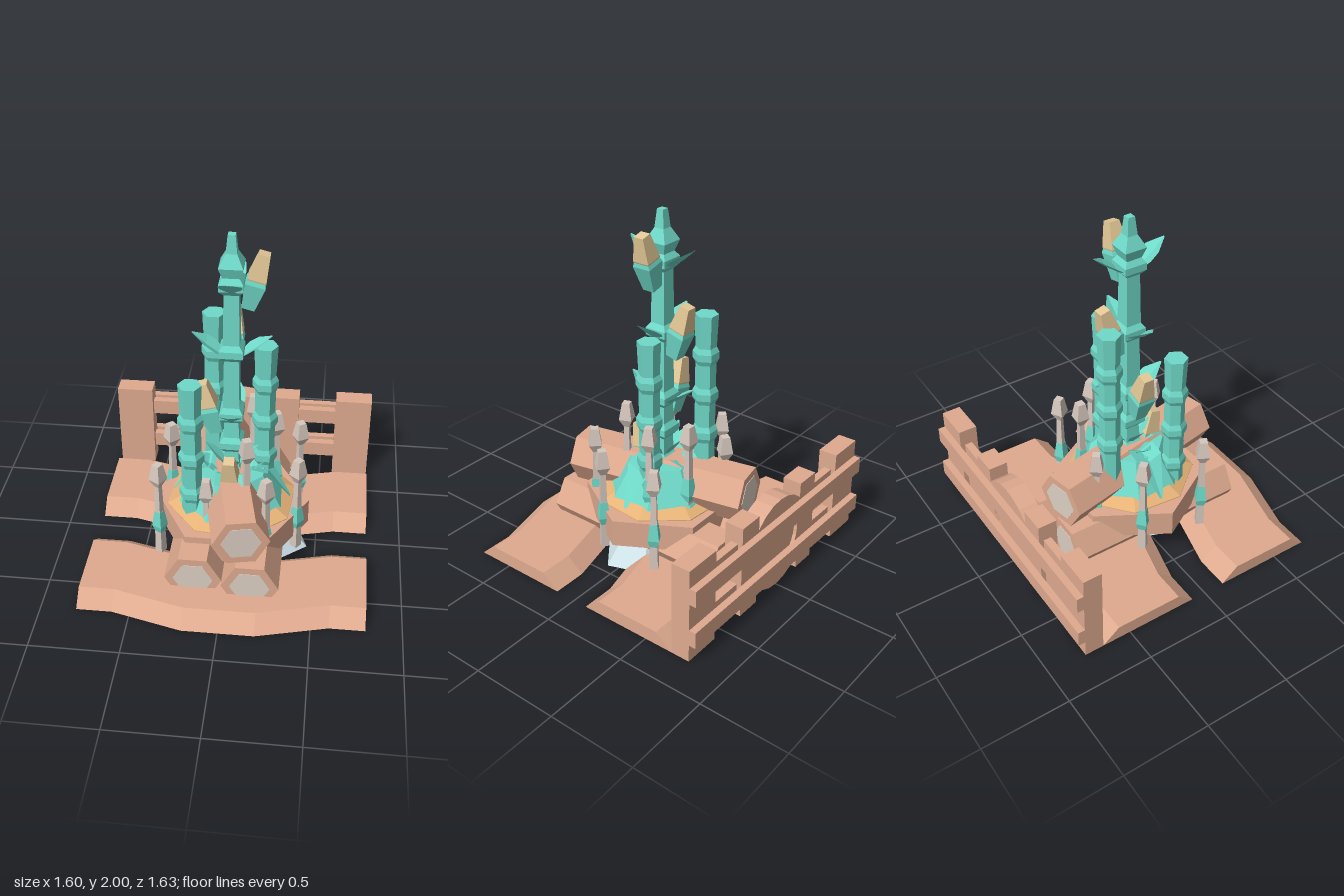
import * as THREE from 'three';

const mat = (color) => new THREE.MeshStandardMaterial({ color, flatShading: true, side: THREE.DoubleSide });
const TAN = mat(0xdfaa8f), CUT = mat(0xdccfc3), TEAL = mat(0x6fd9c8), CORN = mat(0xe3c896);
const SOIL = mat(0xe6b377), STONE = mat(0xcfe4ea), BUD = mat(0xd6c8be);

function add(parent, name, geometry, material, x = 0, y = 0, z = 0) {
  const mesh = new THREE.Mesh(geometry, material);
  mesh.name = name;
  mesh.position.set(x, y, z);
  parent.add(mesh);
  return mesh;
}

function group(parent, name, x = 0, y = 0, z = 0) {
  const g = new THREE.Group();
  g.name = name;
  g.position.set(x, y, z);
  parent.add(g);
  return g;
}

// Faceted turned solid; the profile holds [radius, y] pairs and is closed at both ends
function turned(profile, sides, phase = Math.PI / sides) {
  const pts = [[0, profile[0][1]], ...profile, [0, profile[profile.length - 1][1]]];
  return new THREE.LatheGeometry(pts.map(([r, y]) => new THREE.Vector2(r, y)), sides, phase);
}

// Square section, given by half widths
const squareTurned = (profile) => turned(profile.map(([r, y]) => [r * Math.SQRT2, y]), 4);

// Strip of triangles through equal-length rows of points
function loft(rows, closed) {
  const pos = [], n = rows[0].length;
  for (let i = 0; i < rows.length - 1; i++) {
    for (let j = 0; j < (closed ? n : n - 1); j++) {
      const k = (j + 1) % n;
      const [a, b, c, d] = [rows[i][j], rows[i + 1][j], rows[i + 1][k], rows[i][k]];
      pos.push(...a, ...b, ...c, ...a, ...c, ...d);
    }
  }
  if (closed) {
    const [s, e] = [rows[0], rows[rows.length - 1]];
    for (let j = 1; j < n - 1; j++) pos.push(...s[0], ...s[j], ...s[j + 1], ...e[0], ...e[j + 1], ...e[j]);
  }
  const g = new THREE.BufferGeometry();
  g.setAttribute('position', new THREE.Float32BufferAttribute(pos, 3));
  g.computeVertexNormals();
  return g;
}

// Folded leaf running along +x; rows are [reach, y, halfWidth]
function leaf(rows) {
  return loft(rows.map(([x, y, w]) => [[x, y, w], [x, y - w * 0.4, 0], [x, y, -w]]), false);
}

// Soil ridge, bowed forward in the middle
function ridge(z0) {
  const bow = [[-0.8, 0], [-0.6, 0], [-0.2, 0.1], [0.2, 0.1], [0.6, 0], [0.8, 0]];
  return loft(bow.map(([x, d]) => [[x, 0, z0 + d], [x, 0.08, z0 + 0.1 + d],
    [x, 0.08, z0 + 0.49 + d], [x, 0, z0 + 0.585 + d]]), true);
}

function log(parent, x, y, z, length, turn) {
  const g = group(parent, 'log', x, y, z);
  g.rotation.y = turn;
  const hex = (r, l) => new THREE.CylinderGeometry(r, r, l, 6, 1, false, Math.PI / 6).rotateX(Math.PI / 2);
  add(g, 'bark', hex(0.16, length), TAN);
  add(g, 'cutFaces', hex(0.112, length + 0.006), CUT);
}

function fence(parent) {
  const f = group(parent, 'fence');
  for (const s of [-1, 1]) {
    add(f, 'endPost', new THREE.BoxGeometry(0.22, 0.555, 0.11), TAN, s * 0.69, 0.2775, -0.725);
    add(f, 'innerPost', new THREE.BoxGeometry(0.15, 0.555, 0.11), TAN, s * 0.275, 0.2775, -0.725);
    for (const y of [0.15, 0.405])
      add(f, 'innerRail', new THREE.BoxGeometry(0.4, 0.095, 0.045), TAN, s * 0.4, y, -0.73);
  }
  for (const y of [0.15, 0.405])
    add(f, 'backRail', new THREE.BoxGeometry(1.6, 0.095, 0.04), TAN, 0, y, -0.8);
  // Round panel: rim with a recessed middle
  const rim = new THREE.Shape().absarc(0, 0, 0.275, 0, Math.PI * 2);
  rim.holes.push(new THREE.Path().absarc(0, 0, 0.19, 0, Math.PI * 2, true));
  add(f, 'panelRim', new THREE.ExtrudeGeometry(rim, { depth: 0.11, bevelEnabled: false, curveSegments: 12 }), TAN, 0, 0.28, -0.78);
  add(f, 'panel', new THREE.CylinderGeometry(0.2, 0.2, 0.05, 24).rotateX(Math.PI / 2), TAN, 0, 0.28, -0.735);
}

function cane(parent, x, z, top) {
  const profile = [[0.062, 0.33]];
  for (let y = top - 0.24 * 3; y < top - 0.1; y += 0.24)
    profile.push([0.058, y - 0.05], [0.073, y - 0.02], [0.073, y + 0.02], [0.058, y + 0.05]);
  profile.push([0.066, top]);
  add(parent, 'cane', turned(profile, 6), TEAL, x, 0, z);
}

function maize(parent) {
  const m = group(parent, 'maize', 0, 0, 0.02);
  const profile = [[0.04, 0.4]];
  for (const y of [0.52, 0.72, 0.92, 1.32, 1.72])
    profile.push([0.04, y - 0.05], [0.065, y - 0.02], [0.065, y + 0.02], [0.045, y + 0.05]);
  profile.push([0.065, 1.83], [0.03, 1.9], [0.02, 2]);
  add(m, 'stalk', squareTurned(profile), TEAL);
  // Each level carries a leaf pair and one ear, a quarter turn from the last
  for (let i = 0; i < 4; i++) {
    const level = group(m, 'level', 0, 1.72 - i * 0.4, 0);
    level.rotation.y = i * Math.PI / 2;
    for (const s of [-1, 1]) {
      const l = add(level, 'leaf', leaf([[0.03, -0.04, 0.03], [0.09, 0.02, 0.065], [0.14, 0.055, 0.06], [0.215, 0.1, 0.005]]), TEAL);
      l.rotation.y = s * Math.PI / 2;
    }
    const ear = group(level, 'ear', 0.085, -0.13, 0);
    ear.rotation.z = -0.26;
    add(ear, 'husk', squareTurned([[0.035, 0], [0.055, 0.15], [0.03, 0.23]]), TEAL);
    add(ear, 'cob', squareTurned([[0.03, 0.1], [0.05, 0.18], [0.03, 0.32]]), CORN);
  }
  // Low tuft and large drooping leaves
  for (let i = 0; i < 4; i++) {
    const a = i * Math.PI / 2;
    add(m, 'tuftLeaf', leaf([[0.03, 0.56, 0.03], [0.08, 0.63, 0.05], [0.15, 0.7, 0.005]]), TEAL).rotation.y = a;
    add(m, 'droopingLeaf', leaf([[0.03, 0.52, 0.04], [0.12, 0.58, 0.08], [0.21, 0.56, 0.08], [0.34, 0.35, 0.01]]), TEAL).rotation.y = a;
  }
}

function reed(parent, x, z, top, base) {
  const r = group(parent, 'reed', x, 0, z);
  r.rotation.y = x * 2 + z;
  add(r, 'stem', squareTurned([[0.024, base], [0.015, top - 0.15], [0.037, top - 0.1], [0.022, top]]), BUD);
  add(r, 'sheath', squareTurned([[0.02, top - 0.48], [0.032, top - 0.43], [0.02, top - 0.33]]), TEAL);
}

export function createModel() {
  const model = new THREE.Group();
  model.name = 'gardenBed';
  add(model, 'backRidge', ridge(-0.67), TAN);
  add(model, 'frontRidge', ridge(0.125), TAN);
  fence(model);

  // Bed: stone foot, soil, hexagonal planter and leafy mound
  const foot = turned([[0.38, 0], [0.27, 0.13]], 7);
  add(model, 'stoneFoot', foot, STONE, 0.08, 0, 0.01).scale.z = 0.63;
  add(model, 'soil', turned([[0.28, 0.08], [0.38, 0.18], [0.38, 0.325], [0.3, 0.365]], 8, 0.3), SOIL, 0, 0, 0.02);
  const planter = turned([[0.45, 0.16], [0.45, 0.32]], 6);
  add(model, 'planter', planter, TAN, 0, 0, 0.02);
  add(model, 'mound', turned([[0.33, 0.33], [0.2, 0.54]], 8), TEAL, 0, 0, 0.02);

  // Stacked logs
  log(model, -0.165, 0.14, 0.015, 1.07, 0);
  log(model, 0.155, 0.14, 0.018, 1.135, 0);
  log(model, -0.003, 0.42, 0.015, 1.07, 0.2);

  cane(model, -0.21, 0.185, 1.19);
  cane(model, -0.12, -0.185, 1.43);
  cane(model, 0.18, -0.03, 1.33);
  maize(model);

  const reeds = [[-0.37, -0.13, 0.7, 0.08], [-0.39, 0.26, 0.7, 0.08], [0.38, -0.22, 0.7, 0.08],
    [0.385, 0.14, 0.7, 0.08], [0.22, 0.34, 0.7, 0.08], [-0.16, -0.3, 0.7, 0.08], [-0.12, 0.27, 0.62, 0.1],
    [0.1, 0.2, 0.86, 0.24], [0.1, -0.24, 0.86, 0.24], [0.245, -0.08, 0.86, 0.24]];
  for (const r of reeds) reed(model, ...r);
  return model;
}
